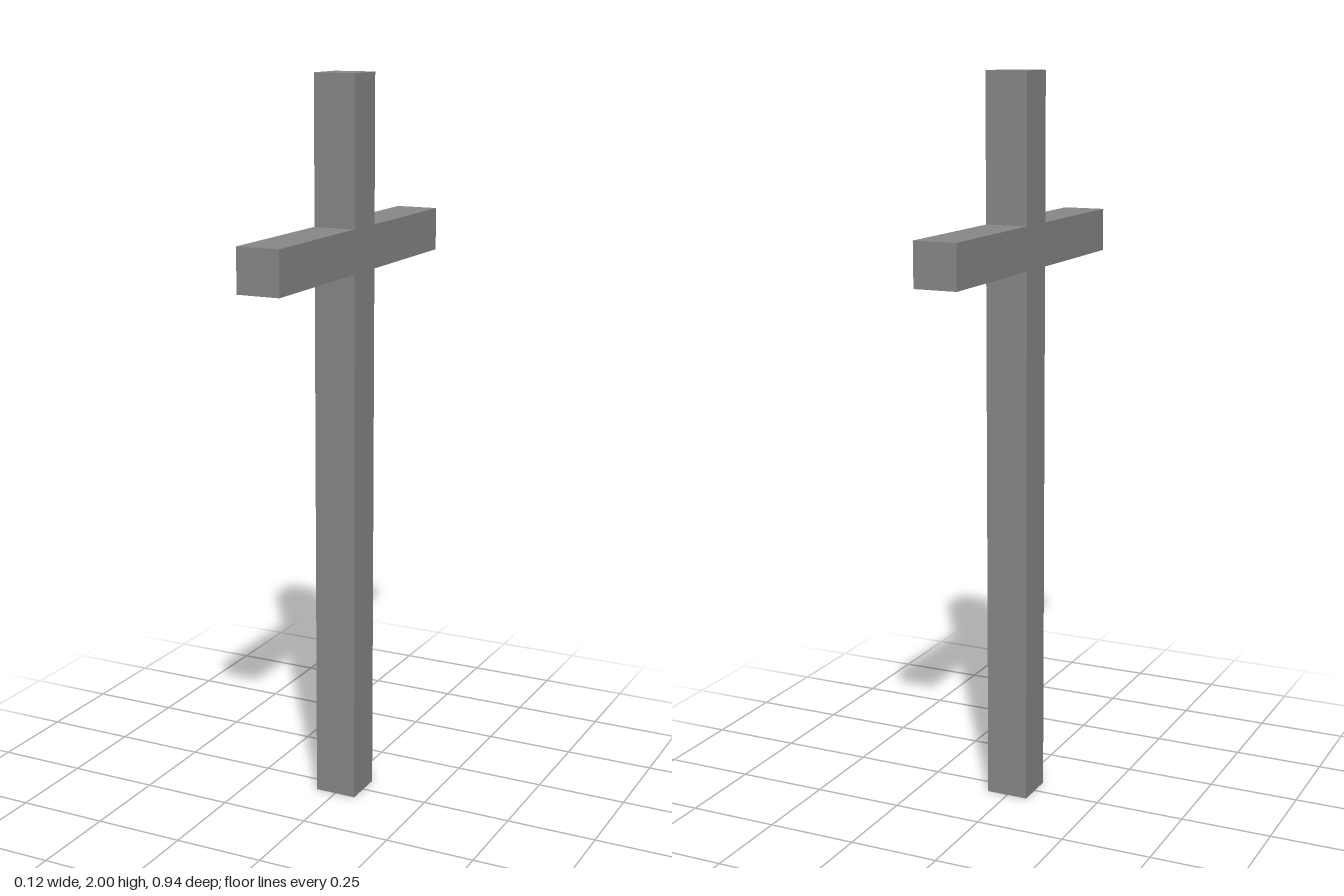
import * as THREE from 'three';

const THICK = 0.118; // square section shared by both beams

export function createModel() {
  const group = new THREE.Group();
  const material = new THREE.MeshStandardMaterial({ color: 0x888888, flatShading: true });

  const addBeam = (name, size, position) => {
    const mesh = new THREE.Mesh(new THREE.BoxGeometry(...size), material);
    mesh.name = name;
    mesh.position.set(...position);
    group.add(mesh);
  };

  // Upright post; the crossbar sits a hair towards -x so the faces do not coincide
  addBeam('post', [THICK, 2, THICK], [0.0005, 1, 0]);
  addBeam('crossbar', [THICK, THICK, 0.938], [-0.0005, 1.545, 0]);

  return group;
}
